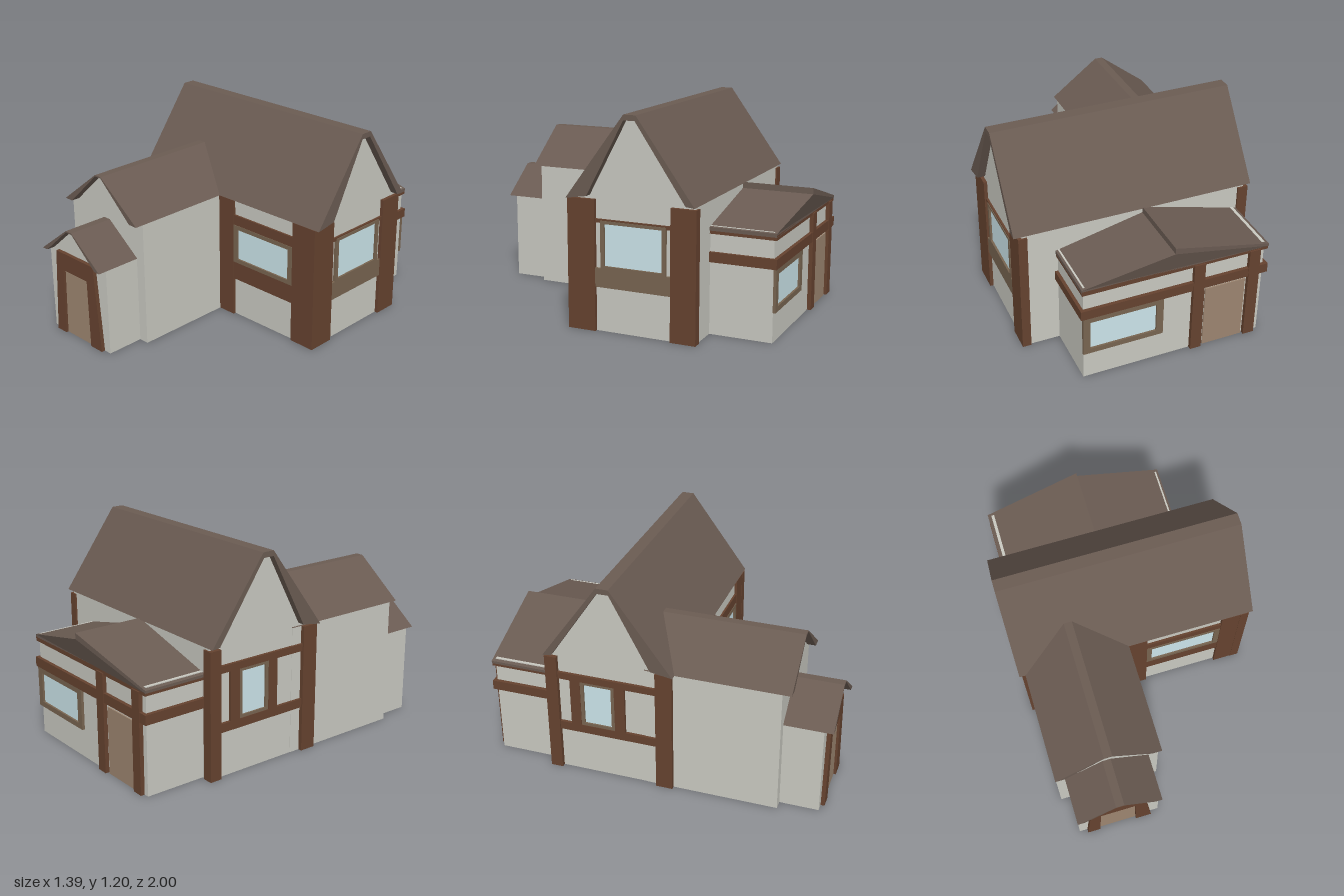
import * as THREE from 'three';

const material = (color, side = THREE.FrontSide) =>
  new THREE.MeshStandardMaterial({ color, flatShading: true, side });

export function createModel() {
  const house = new THREE.Group();
  house.name = 'house';
  const wall = material(0xc8c8c0);
  const roof = material(0x6a5b52, THREE.DoubleSide);
  const wood = material(0x65422f);
  const trim = material(0x776450);
  const doorWood = material(0x9c8570);
  const glass = material(0xcbe4ea);

  const add = (name, geometry, mat, parent = house) => {
    const mesh = new THREE.Mesh(geometry, mat);
    mesh.name = name;
    parent.add(mesh);
    return mesh;
  };
  // Box given by its limits on each axis
  const block = (name, mat, [x0, x1], [y0, y1], [z0, z1], parent) => {
    const g = new THREE.BoxGeometry(x1 - x0, y1 - y0, z1 - z0);
    g.translate((x0 + x1) / 2, (y0 + y1) / 2, (z0 + z1) / 2);
    return add(name, g, mat, parent);
  };
  const polygon = (pts) => new THREE.Shape(pts.map(([a, b]) => new THREE.Vector2(a, b)));
  // Profile in (x, y) running along z
  const alongZ = (pts, z0, z1) =>
    new THREE.ExtrudeGeometry(polygon(pts), { depth: z1 - z0, bevelEnabled: false }).translate(0, 0, z0);
  // Profile in (z, y) running along x
  const alongX = (pts, x0, x1) =>
    new THREE.ExtrudeGeometry(polygon(pts.map(([z, y]) => [-z, y])), { depth: x1 - x0, bevelEnabled: false })
      .rotateY(Math.PI / 2).translate(x0, 0, 0);

  // Framed window facing +z, its back on z = 0
  const window = (name, w, h, border, depth) => {
    const group = new THREE.Group();
    group.name = name;
    const rect = (a, b) => [[-a, -b], [a, -b], [a, b], [-a, b]];
    const outline = polygon(rect(w / 2, h / 2));
    outline.holes.push(polygon(rect(w / 2 - border, h / 2 - border * 0.75)));
    add('windowFrame', new THREE.ExtrudeGeometry(outline, { depth, bevelEnabled: false }), trim, group);
    block('windowGlass', glass, [-w / 2 + 0.005, w / 2 - 0.005], [-h / 2 + 0.005, h / 2 - 0.005], [-0.005, 0.004], group);
    house.add(group);
    return group;
  };

  // Main house
  add('mainWalls', alongX([[0.13, 0], [0.13, 0.73], [0.02, 0.75], [-0.2, 1.165], [-0.265, 1.165],
    [-0.55, 0.745], [-0.59, 0.74], [-0.59, 0]], -0.655, 0.65), wall);
  add('mainRoof', alongX([[0.145, 0.73], [-0.2, 1.195], [-0.27, 1.195], [-0.6, 0.74],
    [-0.55, 0.745], [-0.265, 1.165], [-0.2, 1.165], [0.02, 0.75]], -0.695, 0.695), roof);

  // Front wing and entrance porch: gabled walls under a folded roof
  const gabled = (name, x0, x1, eave, ridge, inset, zBack, zWall, zRoof) => {
    const r0 = -0.38, r1 = -0.333;
    add(name + 'Walls', alongZ([[x0, 0], [x1, 0], [x1, eave], [x1 - inset, eave], [r1, ridge - 0.01],
      [r0, ridge - 0.01], [x0 + inset, eave], [x0, eave]], zBack, zWall), wall);
    add(name + 'Roof', alongZ([[x0 - 0.003, eave], [x0 + inset, eave], [r0, ridge - 0.008], [r1, ridge - 0.008],
      [x1 - inset, eave], [x1 + 0.003, eave], [r1, ridge], [r0, ridge]], zBack, zRoof), roof);
  };
  gabled('wing', -0.657, -0.053, 0.73, 0.945, 0.055, -0.025, 0.73, 0.78);
  gabled('porch', -0.602, -0.113, 0.51, 0.68, 0.037, 0.7, 0.95, 1.0);

  // Front door with tapered frame
  add('frontDoorFrame', alongZ([[-0.555, 0], [-0.48, 0], [-0.465, 0.405], [-0.26, 0.405], [-0.255, 0],
    [-0.16, 0], [-0.2, 0.51], [-0.52, 0.51]], 0.94, 0.972), wood);
  add('frontDoor', alongZ([[-0.482, 0], [-0.253, 0], [-0.258, 0.408], [-0.467, 0.408]], 0.94, 0.958), doorWood);

  // Front timber frame and window
  block('frontPost', wood, [-0.053, 0.06], [0, 0.73], [0.1, 0.146]);
  block('frontPost', wood, [0.51, 0.645], [0, 0.73], [0.1, 0.146]);
  block('frontBeam', wood, [0.05, 0.515], [0.58, 0.64], [0.1, 0.142]);
  block('frontBeam', wood, [0.05, 0.515], [0.235, 0.345], [0.1, 0.142]);
  window('frontWindow', 0.45, 0.235, 0.032, 0.015).position.set(0.283, 0.4625, 0.13);

  // Gable end on the left: corner posts, sill and wide window
  block('leftPost', wood, [0.62, 0.67], [0, 0.73], [-0.015, 0.148]);
  block('leftPost', wood, [0.62, 0.67], [0, 0.725], [-0.6, -0.455]);
  block('leftTopBeam', wood, [0.62, 0.662], [0.605, 0.625], [-0.46, -0.01]);
  block('leftSill', trim, [0.62, 0.666], [0.25, 0.355], [-0.46, -0.01]);
  const leftWindow = window('leftWindow', 0.38, 0.265, 0.022, 0.016);
  leftWindow.position.set(0.65, 0.485, -0.237);
  leftWindow.rotation.y = Math.PI / 2;

  // Gable end on the right: slim posts, beams and upright window
  block('rightPost', wood, [-0.68, -0.62], [0, 0.73], [0.04, 0.135]);
  block('rightPost', wood, [-0.68, -0.62], [0, 0.725], [-0.6, -0.53]);
  for (const z of [-0.46, -0.2])
    block('rightWindowPost', wood, [-0.672, -0.62], [0.3, 0.6], [z, z + 0.06]);
  block('rightTopBeam', wood, [-0.672, -0.62], [0.59, 0.63], [-0.54, 0.05]);
  block('rightLowBeam', wood, [-0.672, -0.62], [0.26, 0.31], [-0.54, 0.05]);
  const rightWindow = window('rightWindow', 0.21, 0.285, 0.025, 0.014);
  rightWindow.position.set(-0.655, 0.45, -0.3);
  rightWindow.rotation.y = -Math.PI / 2;

  // Rear annex with encircling beams
  block('annexWalls', wall, [-0.6, 0.45], [0, 0.6], [-0.945, -0.56]);
  block('annexMidBeam', wood, [-0.622, 0.468], [0.405, 0.46], [-0.965, -0.58]);
  block('annexTopBeam', wood, [-0.615, 0.46], [0.558, 0.585], [-0.96, -0.58]);
  for (const x of [-0.57, -0.24])
    block('annexPost', wood, [x, x + 0.065], [0, 0.57], [-0.968, -0.93]);
  block('backDoor', doorWood, [-0.495, -0.255], [0, 0.385], [-0.953, -0.93]);
  const backWindow = window('backWindow', 0.46, 0.235, 0.04, 0.016);
  backWindow.position.set(0.225, 0.285, -0.945);
  backWindow.rotation.y = Math.PI;

  // Annex roof: two offset slopes, the rear gable leaning outward
  const annexRoof = alongZ([[-0.62, 0.575], [0.462, 0.575], [0.462, 0.595], [-0.04, 0.71],
    [-0.04, 0.745], [-0.62, 0.59]], -1, -0.59);
  const p = annexRoof.attributes.position;
  for (let i = 0; i < p.count; i++) {
    if (p.getZ(i) < -0.9) p.setZ(i, -0.96 - 0.04 * Math.min(1, Math.max(0, (p.getY(i) - 0.595) / 0.115)));
  }
  annexRoof.computeVertexNormals();
  add('annexRoof', annexRoof, roof);

  return house;
}
